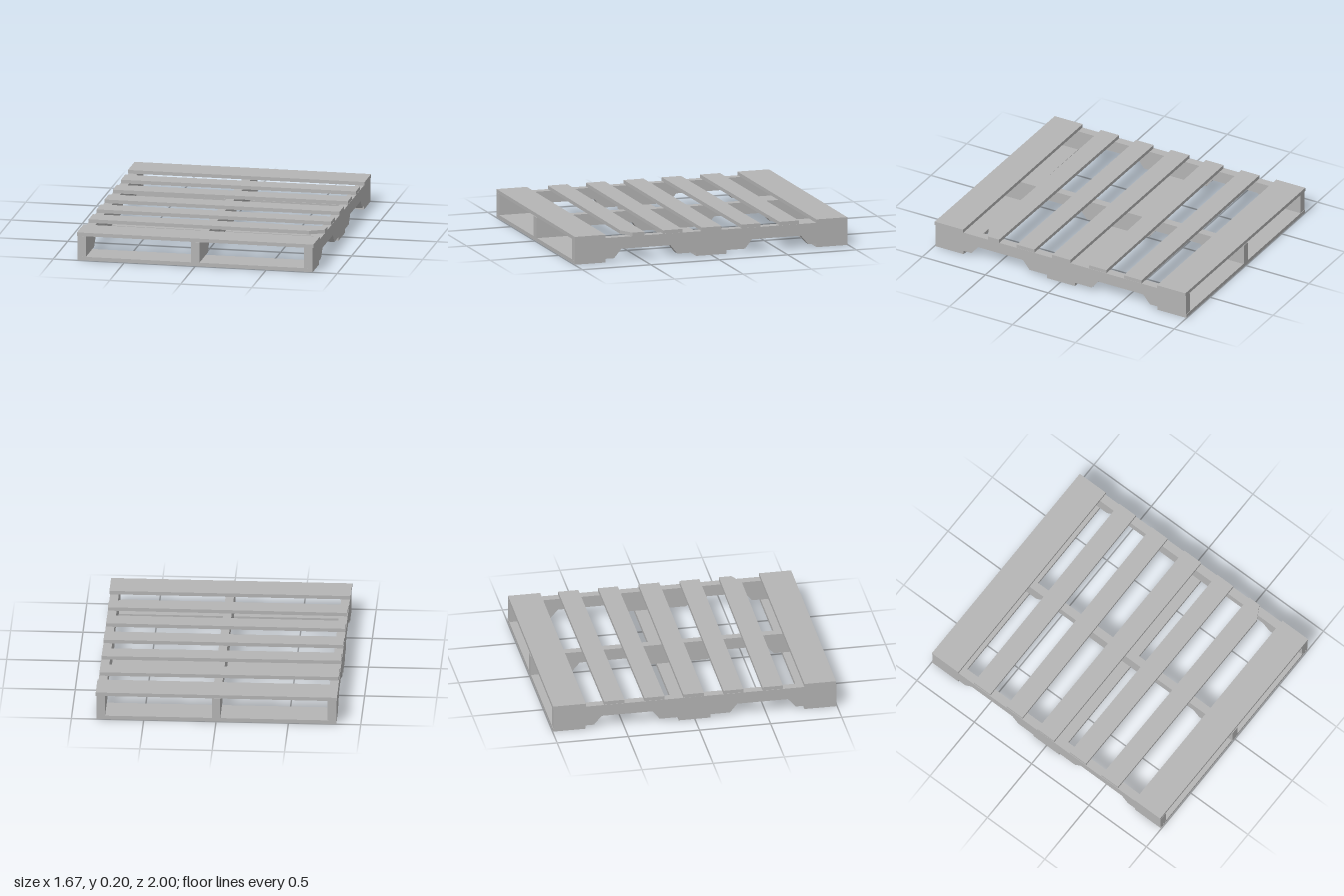
import * as THREE from 'three';

const LOWER = 0.026, UPPER = 0.172, TOP = 0.197;

const outline = (points) => new THREE.Shape(points.map(([x, y]) => new THREE.Vector2(x, y)));

// Flat board from plan corners [x, z], between two heights
function board(points, y0, y1) {
  const shape = outline(points.map(([x, z]) => [x, -z]));
  const geo = new THREE.ExtrudeGeometry(shape, { depth: y1 - y0, bevelEnabled: false });
  return geo.rotateX(-Math.PI / 2).translate(0, y0, 0);
}

// Notched beam running front to back, drawn in side profile [z, y]
function stringer(x, width, end) {
  const notch = 0.089;
  const half = [[0.247, LOWER], [0.298, notch], [0.655, notch], [0.709, LOWER], [end, LOWER], [end, UPPER]];
  const mirrored = half.map(([z, y]) => [-z, y]).reverse();
  const geo = new THREE.ExtrudeGeometry(outline([...half, ...mirrored]), { depth: width, bevelEnabled: false });
  return geo.translate(0, 0, -width / 2).rotateY(-Math.PI / 2).translate(x, 0, 0);
}

export function createModel() {
  const group = new THREE.Group();
  const wood = new THREE.MeshStandardMaterial({ color: 0xb4b4b4 });
  wood.name = 'wood grey';
  const add = (name, geo) => {
    const mesh = new THREE.Mesh(geo, wood);
    mesh.name = name;
    group.add(mesh);
  };

  // Three stringers
  add('rightStringer', stringer(-0.801, 0.06, 0.994));
  add('centreStringer', stringer(0, 0.058, 1));
  add('leftStringer', stringer(0.797, 0.06, 0.994));

  // Top deck, slightly crooked: [x0, x1, back z and front z at x0, back z and front z at x1]
  const deck = [
    [-0.835, 0.832, -0.997, -0.767, -0.993, -0.767],
    [-0.828, 0.825, -0.637, -0.493, -0.642, -0.5],
    [-0.828, 0.825, -0.353, -0.212, -0.361, -0.223],
    [-0.83, 0.827, -0.08, 0.065, -0.077, 0.069],
    [-0.828, 0.825, 0.202, 0.342, 0.21, 0.35],
    [-0.828, 0.827, 0.477, 0.62, 0.488, 0.63],
    [-0.835, 0.832, 0.77, 0.992, 0.772, 0.997],
  ];
  deck.forEach(([x0, x1, a, b, c, d], i) => {
    // The sixth board has a broken corner
    const corner = i === 5 ? [[0.727, d], [x1, 0.576]] : [[x1, d]];
    add('topBoard' + (i + 1), board([[x0, a], [x0, b], ...corner, [x1, c]], UPPER, TOP));
  });

  // Bottom boards
  [[-0.997, -0.77], [-0.113, 0.11], [0.77, 0.995]].forEach(([a, b], i) => {
    add('bottomBoard' + (i + 1), board([[-0.831, a], [-0.831, b], [0.827, b], [0.827, a]], 0, LOWER));
  });

  return group;
}
